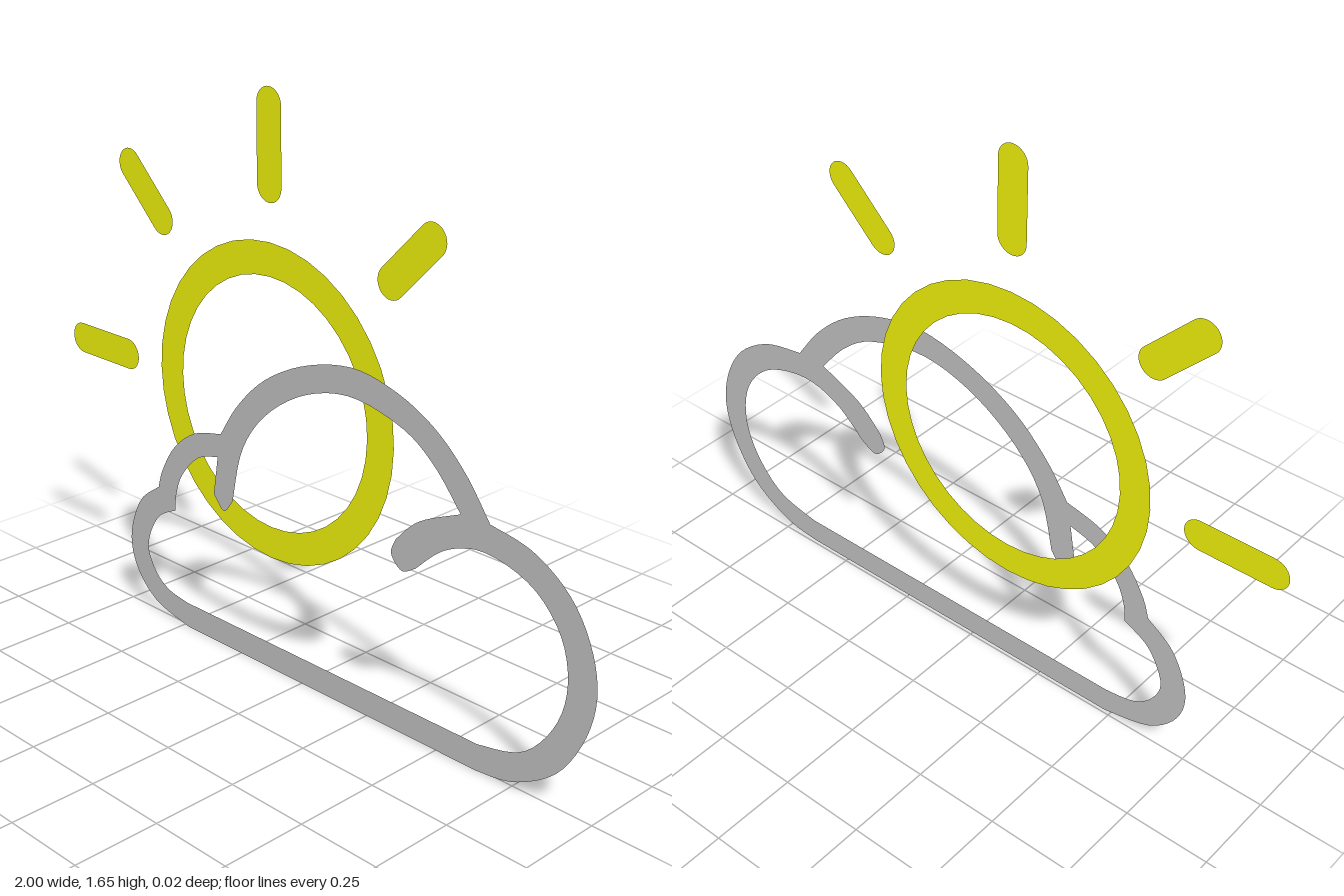
import * as THREE from 'three';

const grey = new THREE.MeshStandardMaterial({ color: 0xcccccc, side: THREE.DoubleSide });
const yellow = new THREE.MeshStandardMaterial({ color: 0xfcff0d, side: THREE.DoubleSide });

const SUN = { x: -0.14, y: 0.788, outer: 0.455, inner: 0.361 };

function flat(shape, material, name, segments = 8) {
  const mesh = new THREE.Mesh(new THREE.ShapeGeometry(shape, segments), material);
  mesh.name = name;
  return mesh;
}

// Closed outline: each arc is a smooth run starting where the last one ended
function outline(path, start, arcs) {
  path.moveTo(...start);
  for (const arc of arcs) {
    if (arc.length === 1) path.lineTo(...arc[0]);
    else path.splineThru(arc.map(([x, y]) => new THREE.Vector2(x, y)));
  }
  return path;
}

// Flat bar along x with round ends
function capsule(length, width) {
  const r = width / 2, h = length / 2 - r;
  const s = new THREE.Shape();
  s.moveTo(-h, -r);
  s.lineTo(h, -r);
  s.absarc(h, 0, r, -Math.PI / 2, Math.PI / 2, false);
  s.lineTo(-h, r);
  s.absarc(-h, 0, r, Math.PI / 2, Math.PI * 1.5, false);
  return s;
}

function createSun() {
  const sun = new THREE.Group();
  sun.name = 'sun';
  const disc = new THREE.Mesh(new THREE.RingGeometry(SUN.inner, SUN.outer, 40), yellow);
  disc.name = 'sunRing';
  sun.add(disc);

  // Four rays, from upper right round to the side
  for (let i = 1; i <= 4; i++) {
    const angle = i * Math.PI / 4;
    const ray = flat(capsule(i % 2 ? 0.28 : 0.305, 0.092), yellow, 'sunRay' + i);
    ray.position.set(0.71 * Math.cos(angle), 0.713 * Math.sin(angle), 0);
    ray.rotation.z = angle;
    sun.add(ray);
  }
  sun.position.set(SUN.x, SUN.y, -0.01);
  return sun;
}

function createCloud() {
  const shape = outline(new THREE.Shape(), [-0.48, 0], [
    [[0.64, 0]],
    // large right lobe
    [[0.76, 0.02], [0.89, 0.1], [0.97, 0.225], [1, 0.355], [0.975, 0.48], [0.906, 0.59], [0.79, 0.667], [0.655, 0.695]],
    // top lobe
    [[0.57, 0.806], [0.463, 0.897], [0.33, 0.957], [0.18, 0.98], [0.01, 0.942], [-0.14, 0.865], [-0.25, 0.763], [-0.323, 0.658]],
    // small upper left lobe
    [[-0.436, 0.628], [-0.525, 0.56], [-0.58, 0.475], [-0.6, 0.415]],
    // lower left lobe
    [[-0.687, 0.345], [-0.735, 0.22], [-0.71, 0.115], [-0.623, 0.035], [-0.48, 0]],
  ]);

  // Inner edge, with the two curled stroke ends
  const hole = outline(new THREE.Path(), [-0.48, 0.078], [
    [[0.64, 0.078]],
    [[0.78, 0.115], [0.875, 0.22], [0.912, 0.345], [0.885, 0.475], [0.79, 0.575], [0.64, 0.615], [0.515, 0.58], [0.415, 0.495]],
    [[0.368, 0.473], [0.33, 0.51], [0.345, 0.555]],
    [[0.425, 0.63], [0.56, 0.692]],
    [[0.47, 0.794], [0.36, 0.864], [0.18, 0.9], [0.01, 0.86], [-0.14, 0.762], [-0.235, 0.634], [-0.277, 0.468]],
    [[-0.315, 0.427], [-0.356, 0.468]],
    [[-0.337, 0.585]],
    [[-0.42, 0.558], [-0.49, 0.488], [-0.52, 0.42], [-0.527, 0.362]],
    [[-0.607, 0.315], [-0.655, 0.217], [-0.63, 0.142], [-0.57, 0.094], [-0.48, 0.078]],
  ]);
  shape.holes.push(hole);
  const cloud = flat(shape, grey, 'cloud', 4);
  cloud.position.z = 0.01;
  return cloud;
}

export function createModel() {
  const model = new THREE.Group();
  model.name = 'sunAndCloud';
  model.add(createSun(), createCloud());
  return model;
}
